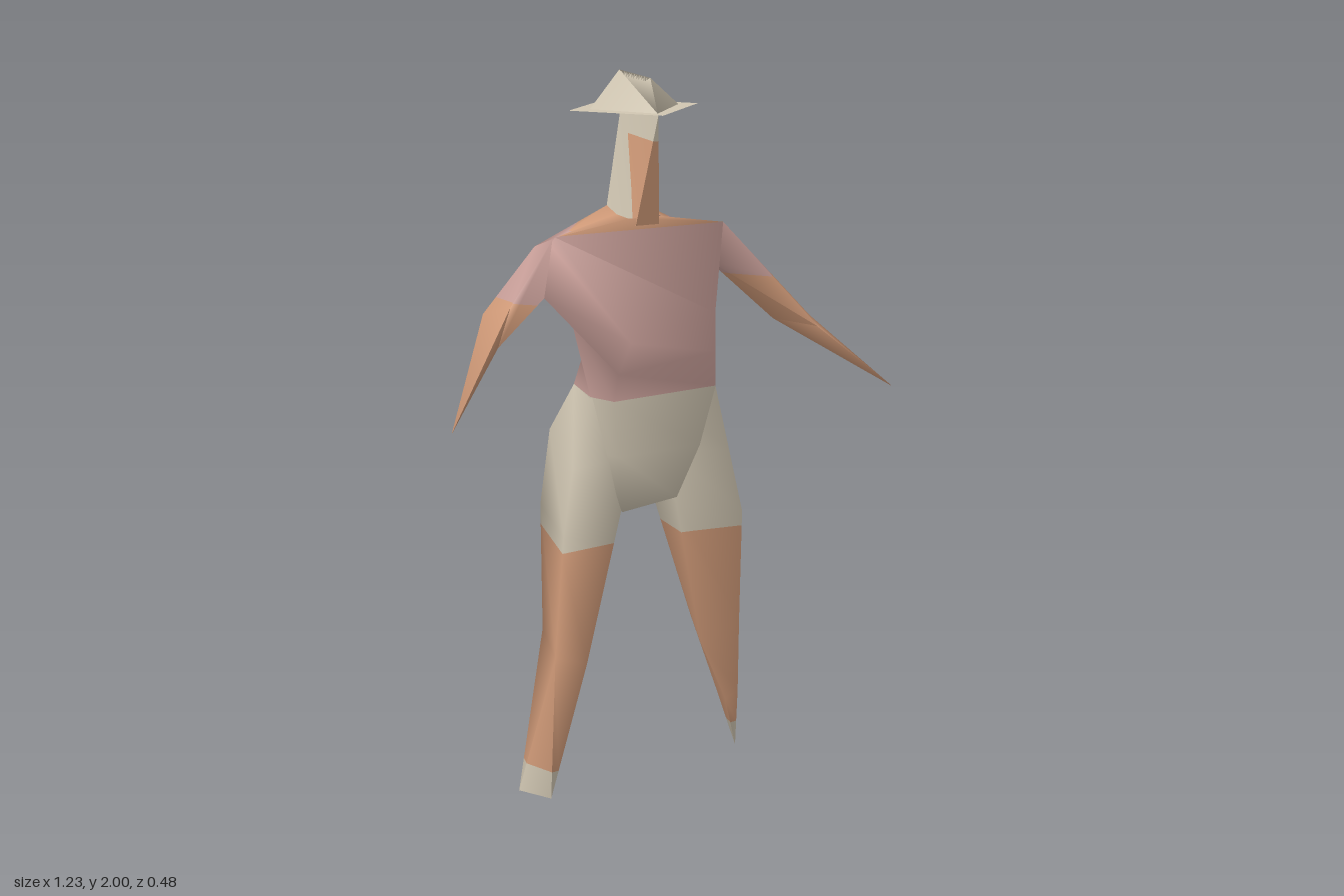
import * as THREE from 'three';
import { toCreasedNormals } from 'three/addons/utils/BufferGeometryUtils.js';

const material = (name, color) =>
  Object.assign(new THREE.MeshStandardMaterial({ color, side: THREE.DoubleSide }), { name });

// Joins rings of points (listed top to bottom) into a softly shaded skin, closed below.
// Returns triangles whose corners are [x, y, z, nx, ny, nz].
function loft(rings, crease = 2.2) {
  const positions = [];
  const tri = (...corners) => {
    const [a, b, c] = corners.map((p) => new THREE.Vector3(...p));
    if (b.clone().sub(a).cross(c.clone().sub(a)).length() > 1e-6) positions.push(...corners.flat());
  };
  const n = rings[0].length;
  for (let r = 0; r < rings.length - 1; r++) {
    const up = rings[r], low = rings[r + 1];
    for (let i = 0; i < n; i++) {
      const j = (i + 1) % n;
      tri(up[i], low[i], low[j]);
      tri(up[i], low[j], up[j]);
    }
  }
  const bottom = rings[rings.length - 1];
  for (let i = 1; i < n - 1; i++) tri(bottom[0], bottom[i + 1], bottom[i]);
  let geometry = new THREE.BufferGeometry();
  geometry.setAttribute('position', new THREE.Float32BufferAttribute(positions, 3));
  geometry = toCreasedNormals(geometry, crease);
  const p = geometry.attributes.position.array, m = geometry.attributes.normal.array;
  const triangles = [];
  for (let i = 0; i < p.length; i += 9) {
    triangles.push([0, 3, 6].map((k) => [...p.slice(i + k, i + k + 3), ...m.slice(i + k, i + k + 3)]));
  }
  return triangles;
}

// Keeps the part of each triangle where field(corner) is positive.
function clip(triangles, field) {
  const out = [];
  for (const t of triangles) {
    const poly = [];
    t.forEach((a, i) => {
      const b = t[(i + 1) % 3], fa = field(a), fb = field(b);
      if (fa >= 0) poly.push(a);
      if ((fa >= 0) !== (fb >= 0)) poly.push(a.map((v, k) => v + (b[k] - v) * (fa / (fa - fb))));
    });
    for (let i = 1; i < poly.length - 1; i++) out.push([poly[0], poly[i], poly[i + 1]]);
  }
  return out;
}
const above = (y) => (p) => p[1] - y;
const below = (y) => (p) => y - p[1];

function addMesh(parent, name, triangles, mat) {
  const corners = triangles.flat();
  const geometry = new THREE.BufferGeometry();
  const set = (key, from) => geometry.setAttribute(key,
    new THREE.Float32BufferAttribute(corners.flatMap((c) => c.slice(from, from + 3)), 3));
  set('position', 0);
  set('normal', 3);
  const mesh = new THREE.Mesh(geometry, mat);
  mesh.name = name;
  parent.add(mesh);
}

// Splits a skin at falling heights; each band is [name, material, lower height].
function addBands(parent, triangles, bands) {
  let rest = triangles;
  for (const [name, mat, y] of bands) {
    addMesh(parent, name, clip(rest, above(y)), mat);
    rest = clip(rest, below(y));
  }
}

export function createModel() {
  const model = new THREE.Group();
  model.name = 'figure';
  const cloth = material('beige cloth', 0xcfc5b1);
  const skin = material('skin', 0xd09a78);
  const shirt = material('pink shirt', 0xc69d97);

  // Torso: rings run front right, front left, back left, back right, right side
  const torso = loft([
    [[-0.07, 1.65, 0.04], [0.02, 1.65, 0.04], [0.02, 1.66, -0.105], [-0.07, 1.66, -0.105], [-0.075, 1.65, -0.03]],
    [[-0.27, 1.618, 0.04], [0.2, 1.62, 0.035], [0.23, 1.56, -0.155], [-0.26, 1.56, -0.14], [-0.282, 1.6, 0.03]],
    [[-0.12, 1.36, 0.172], [0.178, 1.38, 0.04], [0.172, 1.36, -0.075], [-0.18, 1.38, -0.075], [-0.295, 1.46, 0.02]],
    [[-0.14, 1.27, 0.135], [0.17, 1.28, 0.06], [0.162, 1.27, -0.045], [-0.17, 1.27, -0.045], [-0.205, 1.39, -0.03]],
    [[-0.14, 1.19, 0.105], [0.165, 1.19, 0.075], [0.165, 1.19, -0.09], [-0.175, 1.19, -0.09], [-0.18, 1.19, 0.04]],
    [[-0.12, 1.03, 0.085], [0.12, 1.03, 0.075], [0.1, 1.03, -0.18], [-0.12, 1.03, -0.18], [-0.15, 1.03, 0.045]],
    [[-0.1, 0.865, 0.06], [0.06, 0.885, 0.06], [0.05, 0.87, -0.08], [-0.06, 0.87, -0.08], [-0.1, 0.875, 0]],
  ]);
  addBands(model, torso, [['shoulders', skin, 1.62], ['shirt', shirt, 1.19], ['shortsTop', cloth, 0]]);

  // Legs run from the waist: one ends in a point, the other in a slanted edge
  const tip = [0.33, 0.003, -0.1], heel = [-0.355, 0.003, -0.1], toe = [-0.295, 0.015, 0];
  const legs = {
    left: [
      [[0, 1.19, 0.08], [0.165, 1.19, 0.073], [0.165, 1.19, -0.09], [-0.01, 1.19, -0.09]],
      [[0.03, 1.02, 0.06], [0.215, 1.0, 0.06], [0.175, 1.03, -0.212], [-0.01, 1.02, -0.2]],
      [[0.06, 0.87, 0.055], [0.253, 0.82, 0.07], [0.245, 0.82, -0.178], [0.05, 0.86, -0.09]],
      [[0.155, 0.42, 0.02], [0.27, 0.47, 0.03], [0.265, 0.48, -0.125], [0.18, 0.45, -0.1]],
      [[0.26, 0.2, -0.03], [0.3, 0.22, -0.03], [0.303, 0.22, -0.11], [0.265, 0.2, -0.1]],
      [tip, tip, tip, tip],
    ],
    right: [
      [[-0.178, 1.19, 0.045], [0, 1.19, 0.08], [-0.01, 1.19, -0.09], [-0.175, 1.19, -0.09]],
      [[-0.238, 1.0, 0.055], [-0.05, 1.02, 0.06], [-0.01, 1.02, -0.2], [-0.2, 1.03, -0.215]],
      [[-0.272, 0.82, 0.07], [-0.1, 0.87, 0.055], [-0.06, 0.86, -0.09], [-0.245, 0.83, -0.178]],
      [[-0.286, 0.46, 0.03], [-0.19, 0.42, 0.02], [-0.175, 0.42, -0.1], [-0.265, 0.48, -0.125]],
      [heel, toe, toe, heel],
    ],
  };
  for (const [side, rings] of Object.entries(legs)) {
    addBands(model, loft(rings),
      [[side + 'ShortsLeg', cloth, 0.775], [side + 'Leg', skin, 0.1], [side + 'Foot', cloth, -0.1]]);
  }

  // Arms: three-sided, tapering from shoulder through elbow to a pointed hand
  const leftHand = [0.613, 1.178, 0.235], rightHand = [-0.615, 1.2, 0.225];
  const arms = {
    left: [
      [[0.2, 1.62, 0.035], [0.23, 1.56, -0.155], [0.2, 1.5, -0.05]],
      [[0.47, 1.32, 0.07], [0.49, 1.33, -0.01], [0.4, 1.32, -0.055]],
      [leftHand, leftHand, leftHand],
    ],
    right: [
      [[-0.277, 1.615, 0.04], [-0.295, 1.46, 0.02], [-0.26, 1.56, -0.14]],
      [[-0.365, 1.43, -0.04], [-0.395, 1.32, -0.06], [-0.415, 1.4, -0.115]],
      [rightHand, rightHand, rightHand],
    ],
  };
  const sleeveEnd = { left: 1.465, right: 1.44 };
  for (const [side, rings] of Object.entries(arms)) {
    addBands(model, loft(rings), [[side + 'Sleeve', shirt, sleeveEnd[side]], [side + 'Arm', skin, 0]]);
  }

  // Head: a wedge narrowing to a ridge, face in front of a slanted hairline
  const brow = [-0.018, 1.915, 0.108], crest = [-0.018, 1.915, -0.13];
  const head = loft([
    [brow, brow, crest, crest],
    [[-0.05, 1.63, 0.04], [0.015, 1.63, 0.04], [0.02, 1.65, -0.105], [-0.072, 1.65, -0.105]],
  ], 1.4);
  const faceSide = (p) => p[2] - 0.03 + (p[1] - 1.62) * 0.43;
  const lower = clip(head, below(1.85));
  addMesh(model, 'hairTop', clip(head, above(1.85)), cloth);
  addMesh(model, 'face', clip(lower, faceSide), skin);
  addMesh(model, 'hairBack', clip(lower, (p) => -faceSide(p)), cloth);

  // Hat: ridged crown on a flat diamond brim
  const front = [-0.01, 2, 0.04], back = [-0.01, 2, -0.16];
  addMesh(model, 'hatCrown', loft([
    [front, front, back, back],
    [[-0.01, 1.917, 0.085], [0.113, 1.917, -0.06], [-0.01, 1.917, -0.19], [-0.133, 1.917, -0.06]],
  ]), cloth);
  const brim = new THREE.Mesh(new THREE.CircleGeometry(0.18, 4), cloth);
  brim.name = 'hatBrim';
  brim.rotation.x = -Math.PI / 2;
  brim.position.set(-0.01, 1.916, -0.062);
  model.add(brim);

  return model;
}
